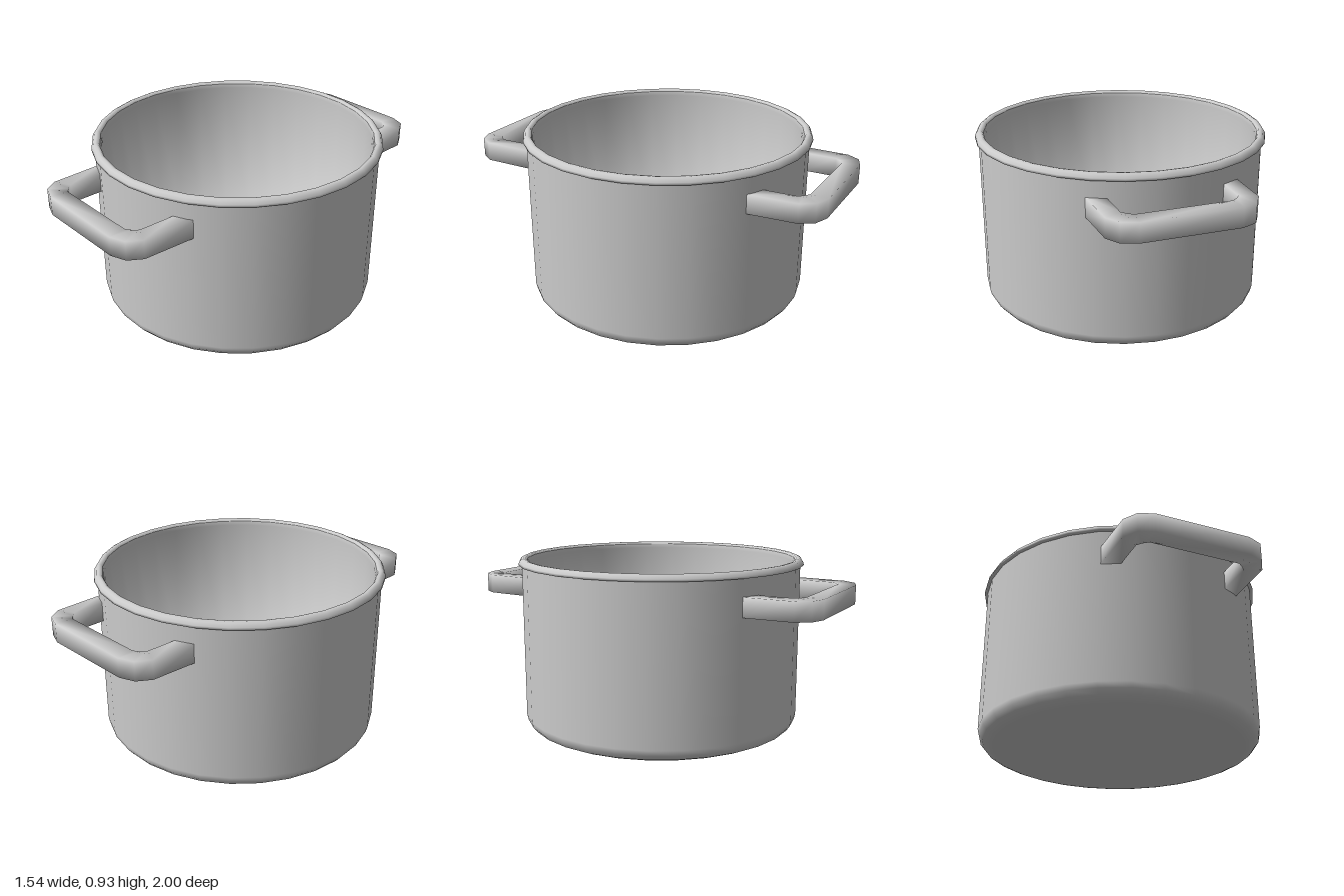
import * as THREE from 'three';

const SIDES = 30;
const POT_Z = -0.01;     // pot sits slightly behind the handles' centre
const HANDLE_X = 0.015;  // handles sit slightly to the left

const material = new THREE.MeshStandardMaterial({ color: 0xcccccc });

// Revolved part with a corner on the x axis
function turned(name, profile) {
  const points = profile.map(([r, y]) => new THREE.Vector2(r, y));
  const mesh = new THREE.Mesh(new THREE.LatheGeometry(points, SIDES, Math.PI / 2), material);
  mesh.name = name;
  mesh.position.z = POT_Z;
  return mesh;
}

// Square-section loop handle with soft shading; side is 1 (front) or -1 (back)
function handle(name, side) {
  const top = 0.805, bottom = 0.705;
  // Half of the outline as [outer x, outer z, inner x, inner z]
  const half = [
    [0.375, 0.9, 0.29, 0.86],
    [0.33, 0.97, 0.27, 0.885],
    [0.25, 1.0, 0.24, 0.907],
  ];
  // Leg ends are buried in the wall of the pot
  const wallZ = (x) => Math.sqrt(0.735 ** 2 - (HANDLE_X + side * x) ** 2) + side * POT_Z;
  const legEnd = (s) => [s * 0.385, wallZ(s * 0.385), s * 0.293, wallZ(s * 0.293)];
  const mirrored = half.map(([ox, oz, ix, iz]) => [-ox, oz, -ix, iz]);
  const stations = [legEnd(-1), ...mirrored, ...half.slice().reverse(), legEnd(1)];

  const positions = [], index = [];
  stations.forEach(([ox, oz, ix, iz], i) => {
    positions.push(ox, top, oz, ox, bottom, oz, ix, bottom, iz, ix, top, iz);
    if (i === stations.length - 1) return;
    for (let k = 0; k < 4; k++) {
      const a = i * 4 + k, b = i * 4 + (k + 1) % 4;
      index.push(b, b + 4, a + 4, b, a + 4, a);
    }
  });
  const geometry = new THREE.BufferGeometry();
  geometry.setAttribute('position', new THREE.Float32BufferAttribute(positions, 3));
  geometry.setIndex(index);
  geometry.computeVertexNormals();

  const mesh = new THREE.Mesh(geometry, material);
  mesh.name = name;
  mesh.position.x = HANDLE_X;
  if (side < 0) mesh.rotation.y = Math.PI;
  return mesh;
}

export function createModel() {
  const pot = new THREE.Group();
  pot.name = 'cookingPot';

  // Base and outer wall with a rounded lower edge
  pot.add(turned('outerWall', [
    [0, 0], [0.67, 0], [0.69, 0.004], [0.725, 0.02], [0.745, 0.045], [0.752, 0.075], [0.752, 0.895],
  ]));
  // Rolled rim
  pot.add(turned('rim', [
    [0.75, 0.895], [0.77, 0.896], [0.768, 0.908], [0.758, 0.924], [0.745, 0.93], [0.732, 0.928], [0.725, 0.918],
  ]));
  // Inner wall and floor
  pot.add(turned('inside', [[0.725, 0.918], [0.72, 0.895], [0.72, 0.04], [0, 0.04]]));

  pot.add(handle('frontHandle', 1), handle('backHandle', -1));
  return pot;
}
